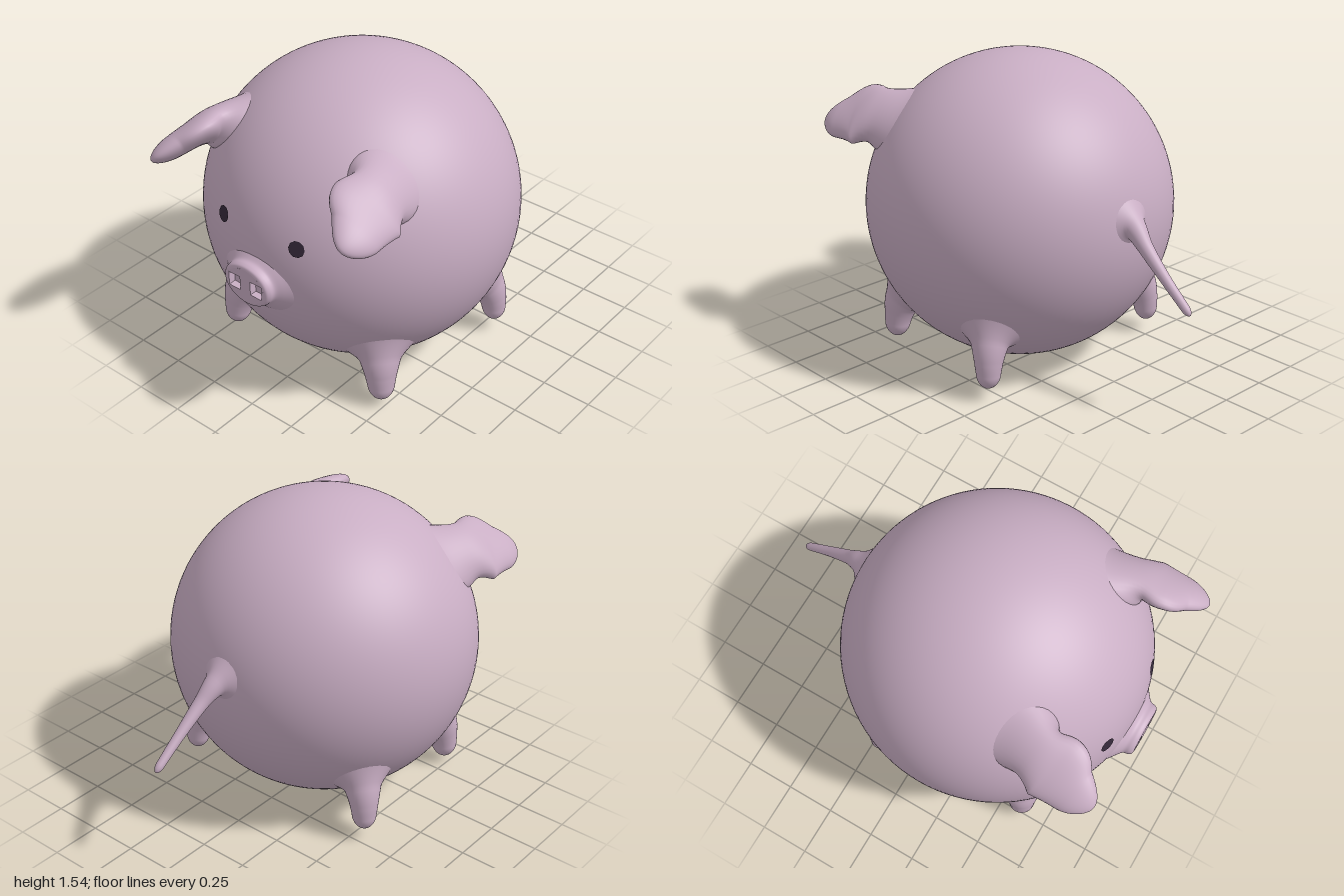
import * as THREE from 'three';

const CENTRE = new THREE.Vector3(0, 0.77, 0.165);
const RADIUS = 0.768;

const pink = new THREE.MeshStandardMaterial({ color: 0xc9aec4 });
pink.name = 'dusty pink';
const dark = new THREE.MeshStandardMaterial({ color: 0x35293a });
dark.name = 'dark plum';

function add(group, name, geometry, material = pink) {
  const mesh = new THREE.Mesh(geometry, material);
  mesh.name = name;
  group.add(mesh);
  return mesh;
}

// A limb growing out of the body. Sections are [x, y, z, halfWidth, halfThickness];
// the first ring lies along the body surface and the last stretch is rounded off.
function limb(sections, side = 1, widthDir = [1, 0, 0]) {
  const path = new THREE.CatmullRomCurve3(sections.map(([x, y, z]) => new THREE.Vector3(x * side, y, z)));
  const sizes = new THREE.CatmullRomCurve3(sections.map((s) => new THREE.Vector3(s[3], s[4], 0)));
  const hint = new THREE.Vector3(widthDir[0] * side, widthDir[1], widthDir[2]);
  const rings = 40, around = 32;
  const capStart = 1 - 1 / (sections.length - 1);
  const positions = [], index = [];
  const skin = path.getPoint(0).sub(CENTRE).normalize();
  for (let i = 0; i < rings; i++) {
    const w = i / rings;
    const t = 1 - Math.pow(1 - w, 1.5);
    const p = path.getPoint(t), size = sizes.getPoint(t);
    const s = Math.max(0, (t - capStart) / (1 - capStart));
    const round = Math.sqrt(1 - s * s);
    const turn = THREE.MathUtils.smoothstep(t, 0, 0.45);
    const d = skin.clone().lerp(path.getTangent(t), turn).normalize();
    const u = hint.clone().addScaledVector(d, -hint.dot(d)).normalize();
    const v = d.clone().cross(u);
    for (let j = 0; j < around; j++) {
      const a = (j / around) * Math.PI * 2;
      const q = p.clone()
        .addScaledVector(u, Math.cos(a) * size.x * round)
        .addScaledVector(v, Math.sin(a) * size.y * round);
      positions.push(q.x, q.y, q.z);
      if (i === 0) continue;
      const k = (j + 1) % around, lo = (i - 1) * around, hi = i * around;
      index.push(lo + j, lo + k, hi + k, lo + j, hi + k, hi + j);
    }
  }
  // Close the tip
  const tip = path.getPoint(1), last = (rings - 1) * around;
  positions.push(tip.x, tip.y, tip.z);
  for (let j = 0; j < around; j++) index.push(last + j, last + ((j + 1) % around), rings * around);
  const geometry = new THREE.BufferGeometry();
  geometry.setAttribute('position', new THREE.Float32BufferAttribute(positions, 3));
  geometry.setIndex(index);
  geometry.computeVertexNormals();
  return geometry;
}

const FRONT_LEG = [
  [0.42, 0.295, 0.55, 0.17, 0.17],
  [0.442, 0.235, 0.575, 0.1, 0.1],
  [0.457, 0.165, 0.59, 0.078, 0.078],
  [0.465, 0.105, 0.597, 0.066, 0.066],
  [0.47, 0.03, 0.6, 0.06, 0.06],
];
const BACK_LEG = [
  [0.495, 0.325, -0.155, 0.16, 0.16],
  [0.525, 0.265, -0.18, 0.09, 0.09],
  [0.545, 0.19, -0.195, 0.07, 0.07],
  [0.552, 0.13, -0.2, 0.06, 0.06],
  [0.558, 0.06, -0.2, 0.055, 0.055],
];
const EAR = [
  [0.455, 1.205, 0.565, 0.18, 0.15],
  [0.49, 1.21, 0.66, 0.15, 0.085],
  [0.51, 1.2, 0.75, 0.18, 0.065],
  [0.545, 1.165, 0.86, 0.125, 0.055],
  [0.565, 1.14, 0.98, 0.09, 0.045],
];
const TAIL = [
  [0, 0.875, -0.575, 0.12, 0.12],
  [0.01, 0.85, -0.625, 0.058, 0.058],
  [0.025, 0.785, -0.7, 0.037, 0.037],
  [0.037, 0.67, -0.84, 0.026, 0.026],
  [0.042, 0.57, -0.965, 0.021, 0.021],
  [0.043, 0.54, -1, 0.02, 0.02],
];

function snout() {
  const group = new THREE.Group();
  group.name = 'snout';
  // Flared oval rim, wider than tall
  const profile = new THREE.SplineCurve([
    [0.215, 0.895], [0.175, 0.925], [0.145, 0.95], [0.138, 0.975], [0.128, 0.99], [0.11, 0.995],
  ].map(([r, z]) => new THREE.Vector2(r, z))).getPoints(30);
  const rim = new THREE.LatheGeometry(profile, 48).rotateX(Math.PI / 2).scale(1, 0.78, 1);
  add(group, 'snoutRim', rim);

  // Flat face with two square nostrils
  const face = new THREE.Shape().absellipse(0, 0, 0.111, 0.0866, 0, Math.PI * 2);
  for (const side of [-1, 1]) {
    const x = side * 0.065, w = 0.034, h = 0.036;
    const hole = new THREE.Path();
    hole.moveTo(x - w, -h).lineTo(x - w, h).lineTo(x + w, h).lineTo(x + w, -h).closePath();
    face.holes.push(hole);
  }
  const plate = new THREE.ExtrudeGeometry(face, { depth: 0.045, bevelEnabled: false, curveSegments: 24 });
  add(group, 'snoutFace', plate.translate(0, 0, 0.95));
  add(group, 'nostrilFloor', new THREE.BoxGeometry(0.2, 0.08, 0.008).translate(0, 0, 0.955));
  group.position.y = 0.705;
  return group;
}

export function createModel() {
  const model = new THREE.Group();
  model.name = 'roundPig';

  const body = add(model, 'body', new THREE.SphereGeometry(RADIUS, 96, 64));
  body.position.copy(CENTRE);

  for (const [label, side] of [['left', 1], ['right', -1]]) {
    add(model, `${label}FrontLeg`, limb(FRONT_LEG, side));
    add(model, `${label}BackLeg`, limb(BACK_LEG, side));
    add(model, `${label}Ear`, limb(EAR, side, [0.78, -0.62, 0]));

    // Flat eye disc resting on the body
    const eye = add(model, `${label}Eye`, new THREE.CircleGeometry(0.04, 10), dark);
    const out = new THREE.Vector3(side * 0.22, 0.945 - CENTRE.y, 0.717).normalize();
    eye.position.copy(CENTRE).addScaledVector(out, RADIUS + 0.004);
    eye.quaternion.setFromUnitVectors(new THREE.Vector3(0, 0, 1), out);
  }

  add(model, 'tail', limb(TAIL));
  model.add(snout());
  return model;
}
